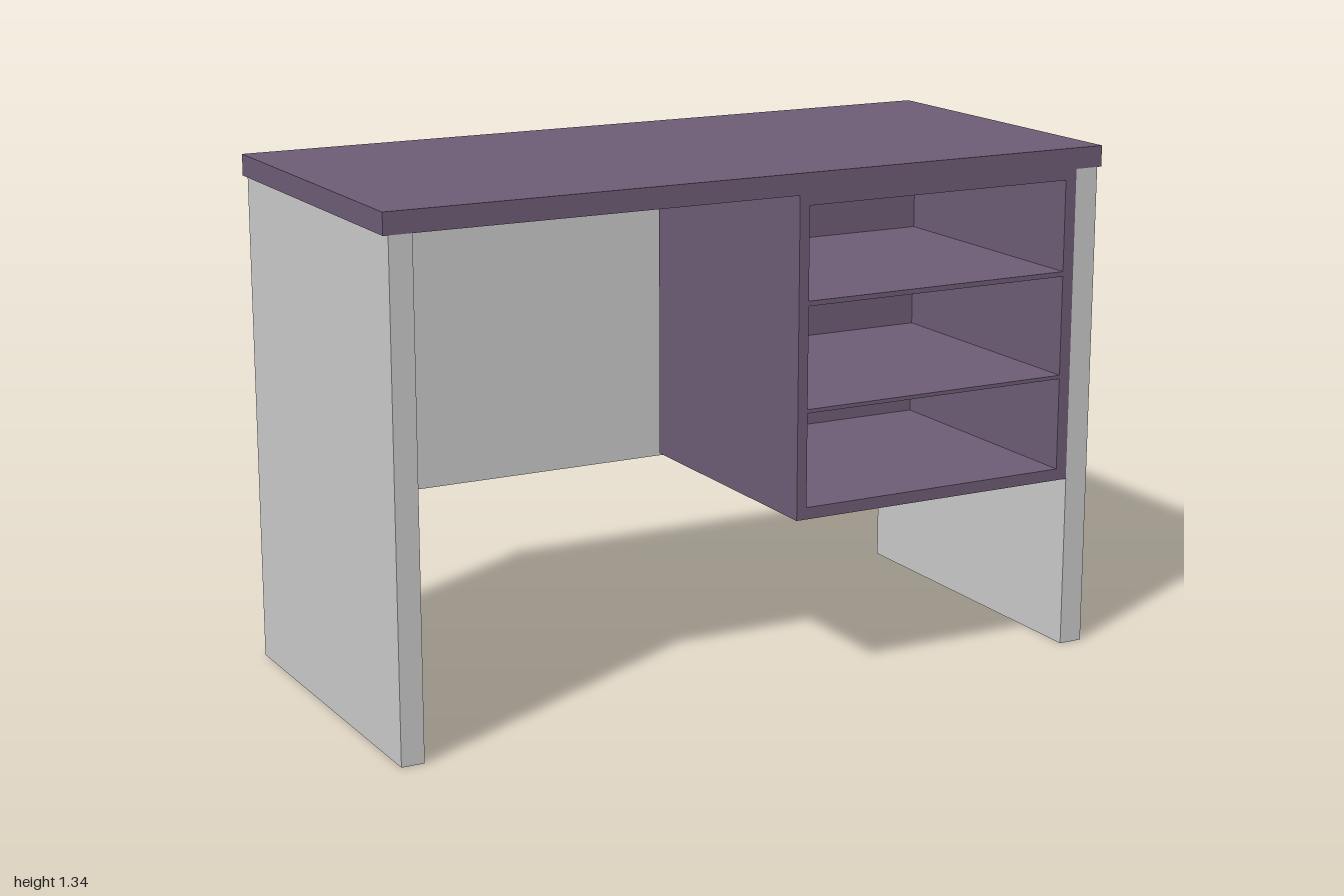
import * as THREE from 'three';

export function createModel() {
  const desk = new THREE.Group();
  desk.name = 'desk';
  const grey = new THREE.MeshStandardMaterial({ color: 0xcccccc });
  const purple = new THREE.MeshStandardMaterial({ color: 0x6e5d76 });
  const FRONT = 0.46, BACK = -0.46, UNDER = 1.285;

  // Box given by its two extreme corners
  function board(name, material, [x0, y0, z0], [x1, y1, z1]) {
    const mesh = new THREE.Mesh(new THREE.BoxGeometry(x1 - x0, y1 - y0, z1 - z0), material);
    mesh.position.set((x0 + x1) / 2, (y0 + y1) / 2, (z0 + z1) / 2);
    mesh.name = name;
    desk.add(mesh);
  }

  // Rectangular outline for a shape or hole
  const rect = (Type, x0, y0, x1, y1) => new Type([
    new THREE.Vector2(x0, y0), new THREE.Vector2(x1, y0),
    new THREE.Vector2(x1, y1), new THREE.Vector2(x0, y1),
  ]);

  // Top and supports
  board('desktop', purple, [-1, UNDER, BACK], [1, 1.34, FRONT]);
  board('rightSidePanel', grey, [-0.987, 0, BACK], [-0.927, UNDER, FRONT]);
  board('leftSidePanel', grey, [0.922, 0, BACK], [0.987, UNDER, FRONT]);
  board('backPanel', grey, [-0.927, 0.404, BACK], [0.922, UNDER, BACK + 0.03]);

  // Open cabinet: a frame with three compartments, closed at the rear
  const cabinetBack = -0.275, rear = 0.025;
  const outline = rect(THREE.Shape, 0.097, 0.458, 0.922, UNDER);
  for (const [low, high] of [[0.489, 0.733], [0.743, 1.006], [1.019, 1.258]]) {
    outline.holes.push(rect(THREE.Path, 0.125, low, 0.89, high));
  }
  const frame = new THREE.Mesh(
    new THREE.ExtrudeGeometry(outline, { depth: FRONT - cabinetBack - rear, bevelEnabled: false }),
    purple,
  );
  frame.position.z = cabinetBack + rear;
  frame.name = 'cabinetCompartments';
  desk.add(frame);
  board('cabinetBack', purple, [0.097, 0.458, cabinetBack], [0.922, UNDER, cabinetBack + rear]);

  return desk;
}
